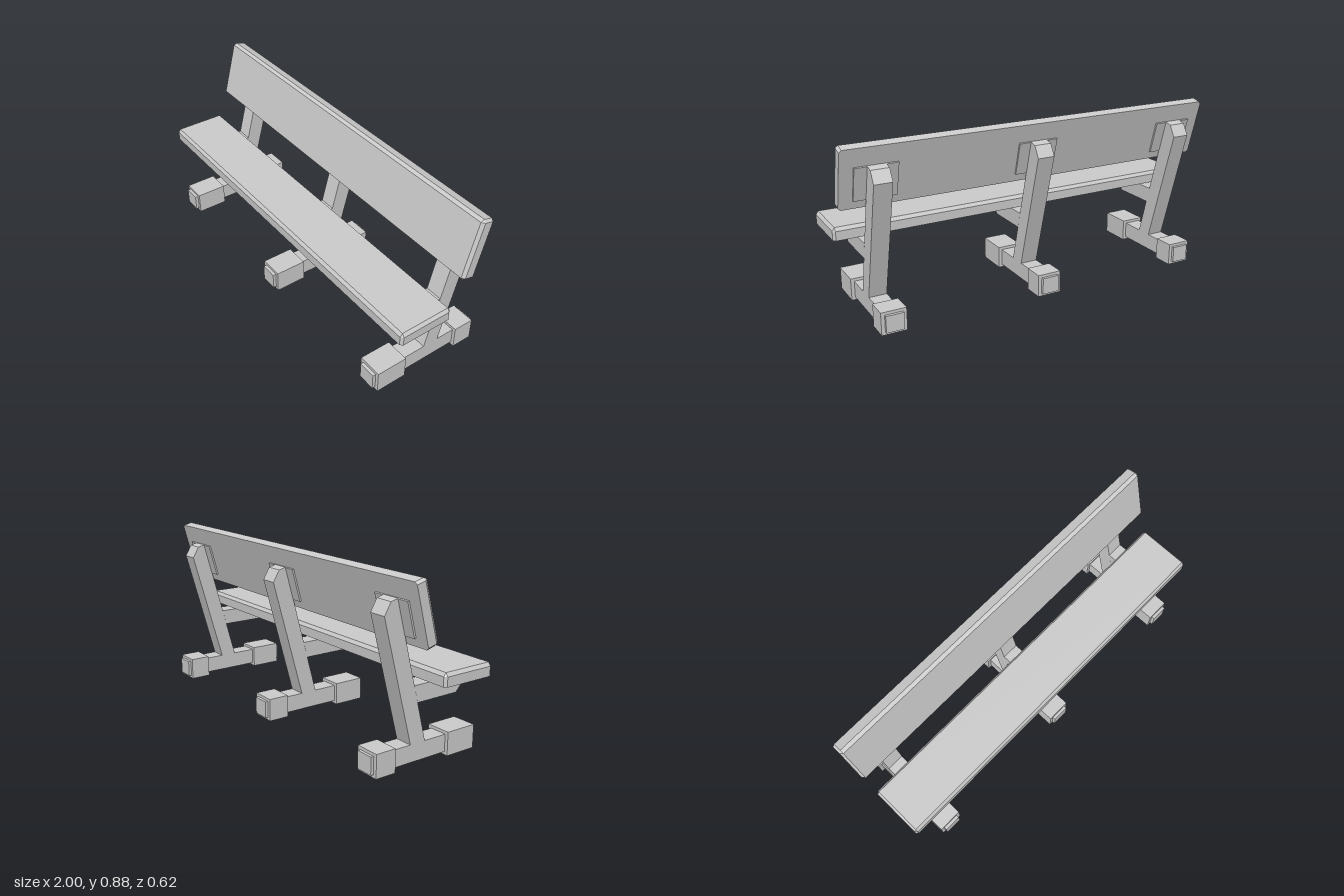
import * as THREE from 'three';
import { ConvexGeometry } from 'three/addons/geometries/ConvexGeometry.js';

const material = new THREE.MeshStandardMaterial({ color: 0xcccccc, flatShading: true });

const TILT = -0.264;        // backward lean of posts and backrest
const BEAM = 0.09;          // width of the frame members

function part(name, geometry, x = 0, y = 0, z = 0) {
  const mesh = new THREE.Mesh(geometry, material);
  mesh.name = name;
  mesh.position.set(x, y, z);
  return mesh;
}

// Box given by its width and its extents in y and z
function block(name, width, y0, y1, z0, z1) {
  return part(name, new THREE.BoxGeometry(width, y1 - y0, z1 - z0), 0, (y0 + y1) / 2, (z0 + z1) / 2);
}

// Side outline of [z, y] points, extruded across x
function sideProfile(name, points, width) {
  const shape = new THREE.Shape(points.map(([z, y]) => new THREE.Vector2(z, y)));
  const geometry = new THREE.ExtrudeGeometry(shape, { depth: width, bevelEnabled: false });
  geometry.translate(0, 0, -width / 2).rotateY(-Math.PI / 2);
  return part(name, geometry);
}

// Plank from y = 0 up, with cut corners and a bevelled top face
function plankGeometry(length, depth, height) {
  const cut = 0.012, bevel = 0.017, points = [];
  for (const sx of [-1, 1]) {
    for (const sz of [-1, 1]) {
      const x = length / 2, z = depth / 2;
      for (const y of [0, height - bevel]) {
        points.push(new THREE.Vector3(sx * x, y, sz * (z - cut)));
        points.push(new THREE.Vector3(sx * (x - cut), y, sz * z));
      }
      points.push(new THREE.Vector3(sx * (x - cut), height, sz * (z - cut)));
    }
  }
  return new ConvexGeometry(points);
}

function createSupport() {
  const support = new THREE.Group();
  support.name = 'support';

  // Ground beam with a thicker foot near each end
  support.add(block('groundBeam', BEAM, 0.015, 0.1, -0.308, 0.31));
  support.add(block('frontFoot', 0.126, 0, 0.115, 0.128, 0.293));
  support.add(block('backFoot', 0.126, 0, 0.115, -0.293, -0.185));

  // Leaning post and the arm that carries the seat
  support.add(sideProfile('post', [
    [0.002, 0.1], [-0.084, 0.1], [-0.252, 0.707], [-0.218, 0.765], [-0.18, 0.775],
  ], BEAM));
  support.add(sideProfile('seatArm', [
    [-0.071, 0.372], [-0.049, 0.29], [0.183, 0.29], [0.235, 0.343], [0.235, 0.372],
  ], BEAM));

  // Mounting plates under the seat and behind the backrest
  support.add(block('seatPlate', 0.26, 0.372, 0.385, 0.095, 0.235));
  const backPlate = part('backPlate', new THREE.BoxGeometry(0.21, 0.172, 0.01), 0, 0.69, -0.154);
  backPlate.rotation.x = TILT;
  support.add(backPlate);
  return support;
}

export function createModel() {
  const bench = new THREE.Group();
  bench.name = 'bench';

  for (const x of [-0.828, 0, 0.828]) {
    const support = createSupport();
    support.position.x = x;
    bench.add(support);
  }

  bench.add(part('seat', plankGeometry(2, 0.285, 0.064), 0, 0.385, 0.1295));

  // Backrest: the same plank stood up, bevelled face forward
  const backrest = part('backrest', plankGeometry(2, 0.309, 0.064), 0, 0.716, -0.157);
  backrest.rotation.x = Math.PI / 2 + TILT;
  bench.add(backrest);

  return bench;
}
